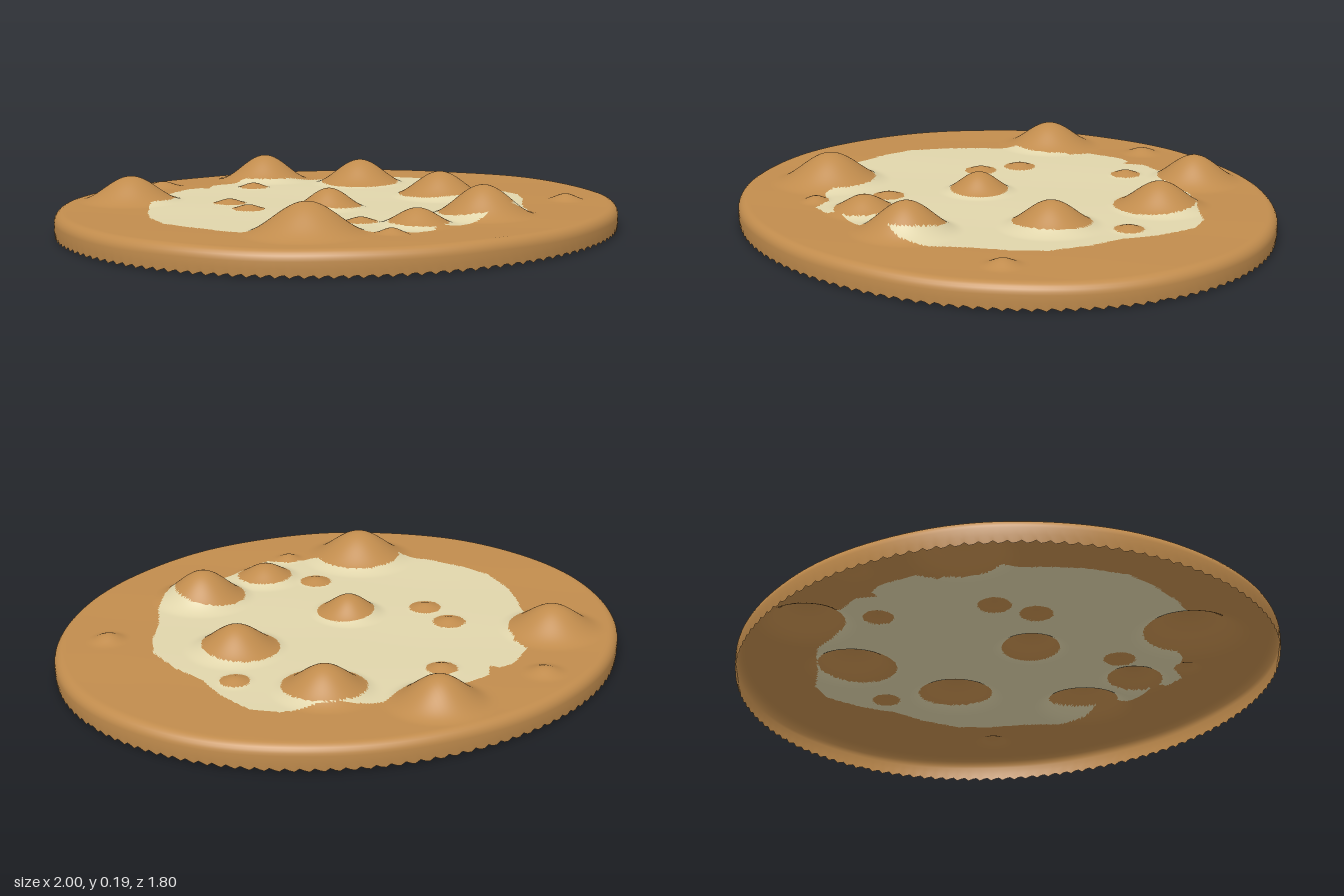
import * as THREE from 'three';

const TOP = 0.088, SEG = 400, FLAT_RINGS = 120, EDGE = 0.035;

// bumps: peak x, peak z, foot radius, height, toasted radius, toasted centre x, z
const bumps = [
  [-0.56, -0.48, 0.19, 0.087, 0.145, -0.55, -0.485],
  [0.13, -0.68, 0.18, 0.092, 0.13, 0.13, -0.68],
  [0.36, -0.39, 0.18, 0.088, 0.14, 0.35, -0.375],
  [0.39, 0.05, 0.18, 0.088, 0.132, 0.38, 0.04],
  [-0.10, 0.06, 0.14, 0.068, 0.1, -0.09, 0.065],
  [-0.47, 0.46, 0.215, 0.102, 0.155, -0.465, 0.46],
  [-0.07, 0.51, 0.14, 0.055, 0.098, -0.07, 0.515],
  [0.22, 0.49, 0.19, 0.102, 0.125, 0.2, 0.475],
  [-0.04, -0.5, 0.07, 0.018, 0.052, -0.04, -0.5],
  [-0.32, -0.22, 0.07, 0.016, 0.056, -0.32, -0.22],
  [-0.34, -0.07, 0.07, 0.016, 0.056, -0.34, -0.07],
  [-0.19, 0.365, 0.07, 0.016, 0.055, -0.19, 0.365],
  [0.545, -0.155, 0.07, 0.016, 0.05, 0.545, -0.155],
  [0.685, 0.385, 0.075, 0.022, 0.05, 0.685, 0.385],
  [-0.25, 0.61, 0.06, 0.018, 0.045, -0.25, 0.61],
  [-0.29, -0.725, 0.08, 0.02, 0.05, -0.29, -0.725],
];

// outline of the pale topping, x and z
const topping = [
  [-0.26, -0.61], [-0.2, -0.61], [-0.18, -0.58], [-0.13, -0.63], [0.0, -0.635], [0.08, -0.57], [0.17, -0.55],
  [0.27, -0.57], [0.38, -0.52], [0.47, -0.47], [0.57, -0.43], [0.63, -0.35], [0.64, -0.21], [0.62, -0.08],
  [0.64, 0.05], [0.63, 0.19], [0.57, 0.29], [0.47, 0.4], [0.4, 0.51], [0.33, 0.57], [0.22, 0.59],
  [0.11, 0.6], [0.01, 0.605], [-0.07, 0.61], [-0.1, 0.635], [-0.18, 0.64], [-0.22, 0.58], [-0.31, 0.55],
  [-0.33, 0.48], [-0.5, 0.4], [-0.61, 0.35], [-0.66, 0.27], [-0.71, 0.13], [-0.73, 0.03], [-0.7, -0.11],
  [-0.65, -0.21], [-0.58, -0.32], [-0.53, -0.37], [-0.39, -0.47], [-0.38, -0.55],
];

function height(x, z) {
  let y = TOP + 0.002 * Math.sin(9 * x + 2) * Math.sin(8 * z);
  for (const [bx, bz, r, h] of bumps) {
    const d = Math.hypot(x - bx, z - bz);
    if (d < r) y += h * 0.5 * (1 + Math.cos(Math.PI * d / r));
  }
  return y;
}

function isTopping(x, z) {
  for (const [, , , , r, cx, cz] of bumps) if (Math.hypot(x - cx, z - cz) < r) return false;
  let inside = false;
  topping.forEach(([ax, az], i) => {
    const [bx, bz] = topping[(i + 1) % topping.length];
    if ((az > z) !== (bz > z) && x < ax + (bx - ax) * (z - az) / (bz - az)) inside = !inside;
  });
  return inside;
}

export function createModel() {
  // ring profile: flat top, rounded shoulder, upright side with a ragged lower edge
  const rings = [];
  for (let i = 0; i <= FLAT_RINGS; i++) rings.push({ s: (1 - EDGE) * i / FLAT_RINGS });
  for (let i = 1; i <= 6; i++) {
    const a = i / 6 * Math.PI / 2;
    rings.push({ s: 1 - EDGE + EDGE * Math.sin(a), drop: EDGE * (1 - Math.cos(a)) });
  }
  rings.push({ s: 1, y: 0.03 }, { s: 0.997, y: 0.006, ragged: true });

  const pos = [];
  for (const { s, drop = 0, y, ragged } of rings) {
    for (let j = 0; j < SEG; j++) {
      const t = j / SEG * Math.PI * 2;
      const x = s * (Math.cos(t) - 0.035 * Math.sin(t) ** 2), z = s * 0.9 * Math.sin(t);
      const low = ragged ? 0.006 * Math.sin(j * 2.1) : 0;
      pos.push(x, y === undefined ? height(x, z) - drop : y + low, z);
    }
  }

  // sort the faces into crust and topping
  const crust = [], pale = [];
  const addFace = (...f) => {
    const x = f.reduce((sum, k) => sum + pos[k * 3], 0) / 3;
    const z = f.reduce((sum, k) => sum + pos[k * 3 + 2], 0) / 3;
    (isTopping(x, z) ? pale : crust).push(...f);
  };
  for (let i = 0; i < rings.length - 1; i++) {
    for (let j = 0; j < SEG; j++) {
      const k = (j + 1) % SEG;
      const a = i * SEG + j, b = i * SEG + k, c = a + SEG, d = b + SEG;
      if (i > 0) addFace(a, b, c);
      addFace(b, d, c);
    }
  }

  // one smooth surface supplies the normals of both parts
  const surface = new THREE.BufferGeometry();
  surface.setAttribute('position', new THREE.Float32BufferAttribute(pos, 3));
  surface.setIndex([...crust, ...pale]);
  surface.computeVertexNormals();

  const group = new THREE.Group();
  group.name = 'flatbread';
  const addPart = (name, index, materialName, color) => {
    const geometry = surface.clone();
    geometry.setIndex(index);
    const material = new THREE.MeshStandardMaterial({ color, side: THREE.DoubleSide });
    material.name = materialName;
    const mesh = new THREE.Mesh(geometry, material);
    mesh.name = name;
    group.add(mesh);
  };
  addPart('crust', crust, 'toastedBrown', 0xc18c4d);
  addPart('topping', pale, 'paleCream', 0xe0d5ab);
  return group;
}
